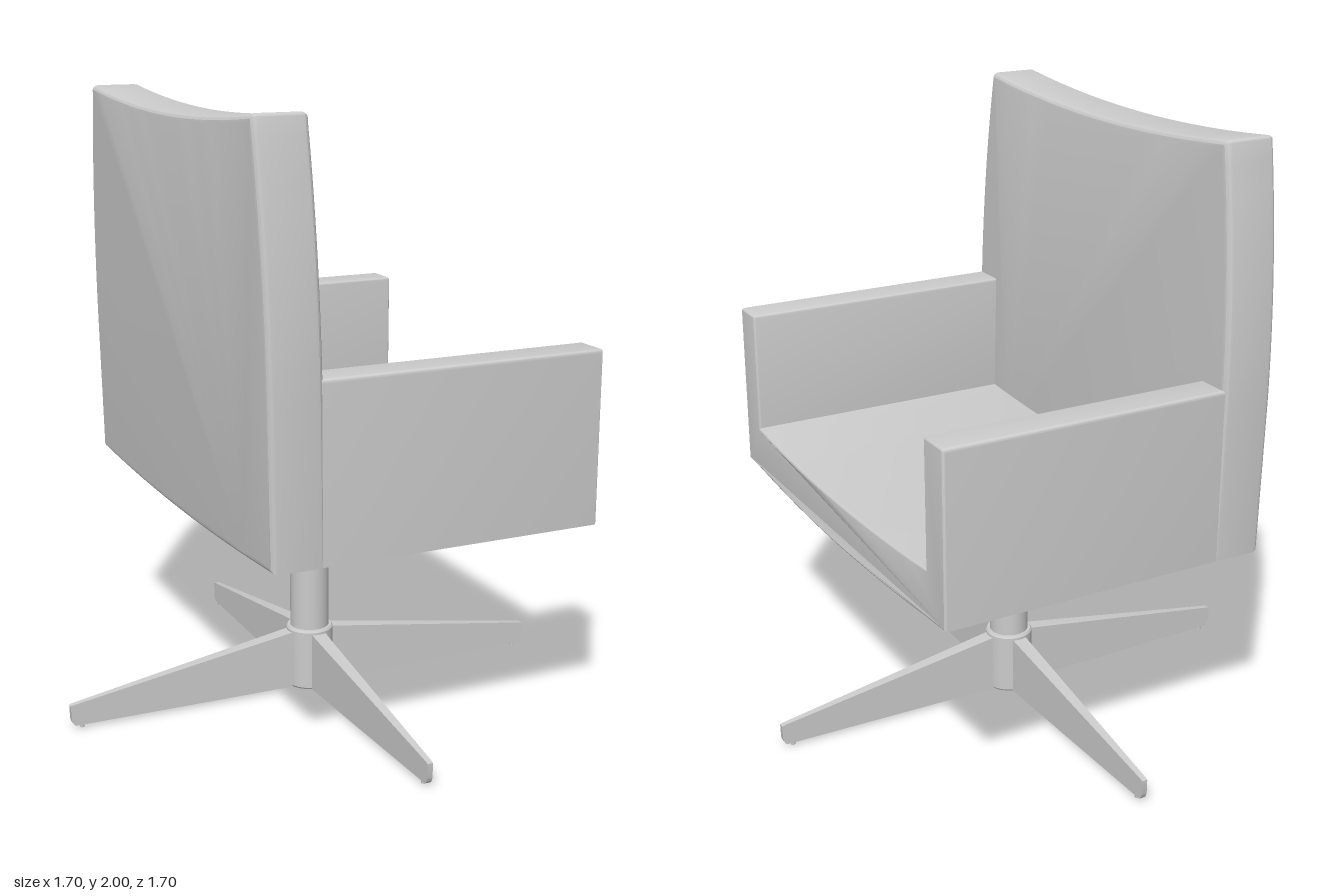
import * as THREE from 'three';
import { toCreasedNormals } from 'three/addons/utils/BufferGeometryUtils.js';

const material = new THREE.MeshStandardMaterial({ color: 0xcccccc });

function addMesh(parent, name, geometry) {
  const mesh = new THREE.Mesh(geometry, material);
  mesh.name = name;
  parent.add(mesh);
  return mesh;
}

// Moves every vertex of a geometry by a rule.
function deform(geometry, rule) {
  const p = geometry.attributes.position;
  const v = new THREE.Vector3();
  for (let i = 0; i < p.count; i++) {
    rule(v.fromBufferAttribute(p, i));
    p.setXYZ(i, v.x, v.y, v.z);
  }
  return geometry;
}

// Extrudes a (z, y) outline along x with softened end edges.
function upholstery(shape, x0, x1, bevel, rule) {
  const geometry = new THREE.ExtrudeGeometry(shape, {
    depth: x1 - x0 - 2 * bevel, curveSegments: 14, bevelEnabled: true,
    bevelSize: bevel, bevelThickness: bevel, bevelOffset: -bevel, bevelSegments: 4,
  });
  geometry.translate(0, 0, x0 + bevel).rotateY(Math.PI / 2);
  return toCreasedNormals(deform(geometry, rule), 0.3);
}

export function createModel() {
  const chair = new THREE.Group();
  chair.name = 'swivelArmchair';

  // Backrest: tapering sides, dipped top edge, leaning slightly backwards
  const back = new THREE.Shape();
  back.moveTo(-0.752, 0.71);
  back.quadraticCurveTo(0, 0.66, 0.752, 0.71);
  back.lineTo(0.757, 1.2);
  back.quadraticCurveTo(0.757, 1.6, 0.69, 1.985);
  back.quadraticCurveTo(0.688, 2, 0.673, 1.998);
  back.quadraticCurveTo(0, 1.922, -0.673, 1.998);
  back.quadraticCurveTo(-0.688, 2, -0.69, 1.985);
  back.quadraticCurveTo(-0.757, 1.6, -0.757, 1.2);
  back.closePath();
  addMesh(chair, 'backrest', upholstery(back, -0.468, -0.295, 0.022,
    (v) => { v.x -= 0.02 * (v.y - 0.7); }));

  // Seat and both arms: one U-shaped shell with a sagging seat
  const r = 0.012, out = 0.75, inn = 0.633, top = 1.265;
  const shell = new THREE.Shape();
  shell.moveTo(-out, 0.71);
  shell.quadraticCurveTo(0, 0.66, out, 0.71);
  shell.lineTo(out, top - r);
  shell.quadraticCurveTo(out, top, out - r, top);
  shell.lineTo(inn + r, top);
  shell.quadraticCurveTo(inn, top, inn, top - r);
  shell.lineTo(inn, 0.86);
  shell.quadraticCurveTo(0, 0.818, -inn, 0.86);
  shell.lineTo(-inn, top - r);
  shell.quadraticCurveTo(-inn, top, -inn - r, top);
  shell.lineTo(-out + r, top);
  shell.quadraticCurveTo(-out, top, -out, top - r);
  shell.closePath();
  addMesh(chair, 'seatAndArms', upholstery(shell, -0.4, 0.63, 0.01, (v) => {
    // the front edge of the seat bulges a little
    if (v.x > 0.5 && v.y < 0.9) v.x += 0.008 * Math.max(0, 1 - (v.z / inn) ** 2);
  }));

  // Pedestal column and hub
  const column = addMesh(chair, 'column', new THREE.CylinderGeometry(0.065, 0.065, 0.52, 40));
  column.position.y = 0.45;
  const hub = [[0, 0.01], [0.075, 0.01], [0.079, 0.016], [0.079, 0.213], [0.074, 0.22], [0, 0.22]];
  const hubGeometry = new THREE.LatheGeometry(hub.map(([x, y]) => new THREE.Vector2(x, y)), 40);
  addMesh(chair, 'hub', toCreasedNormals(hubGeometry, 0.4));

  // Four blade legs, thinner towards the tip, each on a small glide
  const blade = new THREE.Shape();
  blade.moveTo(0.03, 0.01);
  blade.lineTo(0.835, 0.01);
  blade.quadraticCurveTo(0.845, 0.015, 0.849, 0.035);
  blade.lineTo(0.85, 0.08);
  blade.lineTo(0.84, 0.083);
  blade.lineTo(0.07, 0.207);
  blade.lineTo(0.03, 0.207);
  blade.closePath();
  for (let i = 0; i < 4; i++) {
    const leg = new THREE.Group();
    leg.name = 'leg' + (i + 1);
    leg.rotation.y = i * Math.PI / 2;
    const geometry = new THREE.ExtrudeGeometry(blade, { depth: 1, bevelEnabled: false });
    deform(geometry, (v) => { v.z = (v.z - 0.5) * (0.052 - 0.04 * v.x); });
    addMesh(leg, 'blade', toCreasedNormals(geometry, 0.5));
    const glide = addMesh(leg, 'glide', new THREE.CylinderGeometry(0.008, 0.008, 0.012, 12));
    glide.position.set(0.812, 0.006, 0);
    chair.add(leg);
  }
  return chair;
}
